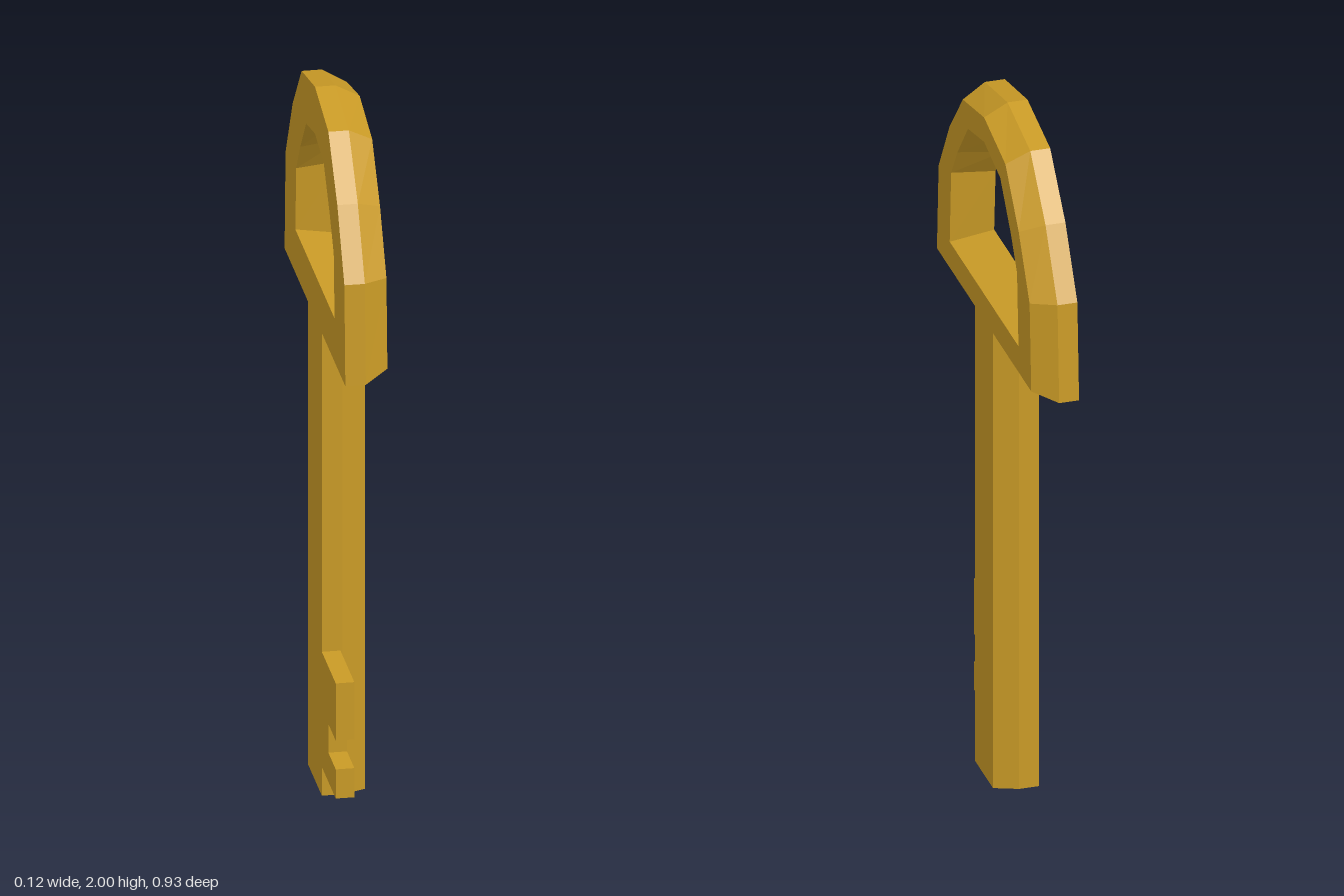
import * as THREE from 'three';

const gold = new THREE.MeshStandardMaterial({ color: 0xc99a26 });
gold.name = 'gold';
gold.flatShading = true;

// x positions of the flat back, the start of the bevel, and the face
const BACK = -0.06, MID = -0.005, FACE = 0.06;

// Half outline [z, y] ending on the centre line, mirrored into a closed loop
function mirrorLoop(half) {
  const other = half.slice(0, -1).reverse().map(([z, y]) => [-z, y]);
  return [...half, ...other];
}

// Closed flat-sided band through a list of matching loops, each at its own x
function loftBand(stations) {
  const pos = [];
  const n = stations[0].loop.length, m = stations.length;
  const point = (i, j) => {
    const s = stations[j % m], [z, y] = s.loop[i % n];
    return [s.x, y, z];
  };
  for (let j = 0; j < m; j++) {
    for (let i = 0; i < n; i++) {
      const a = point(i, j), b = point(i, j + 1), c = point(i + 1, j + 1), d = point(i + 1, j);
      pos.push(...a, ...b, ...c, ...a, ...c, ...d);
    }
  }
  const g = new THREE.BufferGeometry();
  g.setAttribute('position', new THREE.Float32BufferAttribute(pos, 3));
  g.computeVertexNormals();
  return g;
}

function extrude(points, depth) {
  const shape = new THREE.Shape(points.map(([x, y]) => new THREE.Vector2(x, y)));
  return new THREE.ExtrudeGeometry(shape, { depth, bevelEnabled: false });
}

export function createModel() {
  const key = new THREE.Group();
  key.name = 'key';
  const add = (name, geometry) => {
    const mesh = new THREE.Mesh(geometry, gold);
    mesh.name = name;
    key.add(mesh);
  };

  // Arched handle with a bevelled rim and a tapering hole
  const outer = mirrorLoop([[0.465, 1.335], [0.45, 1.62], [0.342, 1.805], [0.205, 1.958], [0, 2]]);
  const rim = mirrorLoop([[0.425, 1.36], [0.41, 1.615], [0.312, 1.78], [0.192, 1.922], [0, 1.965]]);
  const holeFace = mirrorLoop([[0.31, 1.437], [0.297, 1.65], [0.24, 1.74], [0.145, 1.858], [0, 1.892]]);
  const holeBack = mirrorLoop([[0.3, 1.46], [0.287, 1.642], [0.225, 1.73], [0.135, 1.836], [0, 1.865]]);
  add('handle', loftBand([
    { x: BACK, loop: outer },
    { x: MID, loop: outer },
    { x: FACE, loop: rim },
    { x: FACE, loop: holeFace },
    { x: BACK, loop: holeBack },
  ]));

  // Shaft with two bevelled long edges
  const shaft = extrude([
    [BACK, -0.105], [MID, -0.105], [FACE, -0.08], [FACE, 0.08], [MID, 0.105], [BACK, 0.105],
  ], 1.36);
  shaft.rotateX(-Math.PI / 2);
  add('shaft', shaft);

  // Notched bit near the tip
  const bit = extrude([
    [0.09, 0.083], [0.318, 0.083], [0.318, 0.167], [0.205, 0.167],
    [0.205, 0.25], [0.318, 0.25], [0.318, 0.415], [0.09, 0.415],
  ], 0.05);
  bit.rotateY(-Math.PI / 2);
  bit.translate(-0.01, 0, 0);
  add('bit', bit);

  return key;
}
